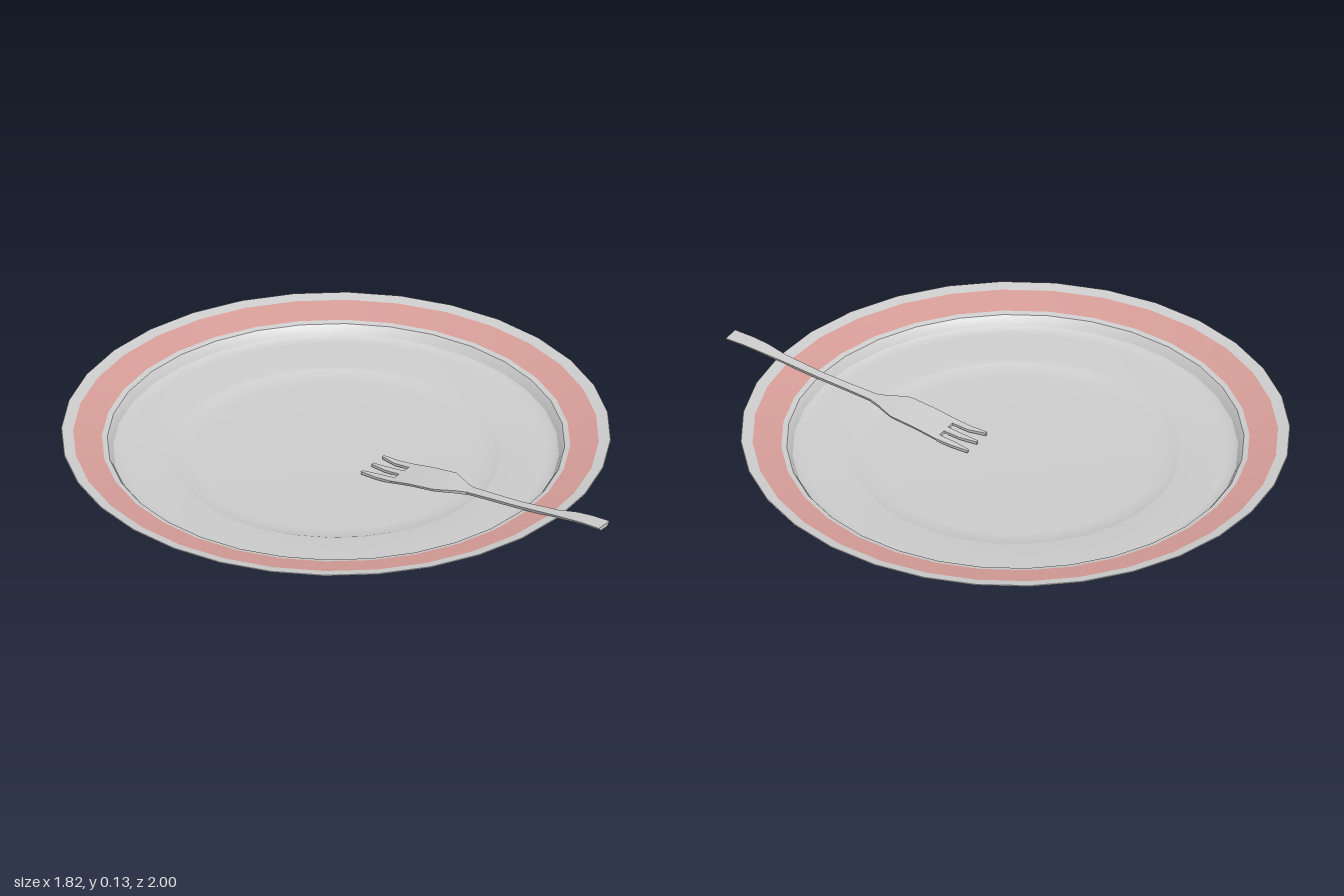
import * as THREE from 'three';
import { toCreasedNormals } from 'three/addons/utils/BufferGeometryUtils.js';

const grey = new THREE.MeshStandardMaterial({ color: 0xcccccc });
const red = new THREE.MeshStandardMaterial({ color: 0xd59c97 });

// Turned ring of the plate; the profile runs outward below and inward above
function turned(name, profile, material) {
  const points = profile.map(([r, y]) => new THREE.Vector2(r, y));
  const geometry = toCreasedNormals(new THREE.LatheGeometry(points, 32), 0.5);
  const mesh = new THREE.Mesh(geometry, material);
  mesh.name = name;
  return mesh;
}

// Height of the fork's top face along its length: [z, y]
const arch = [[0.05, 0.026], [0.11, 0.027], [0.17, 0.034], [0.25, 0.05], [0.35, 0.064],
  [0.45, 0.067], [0.65, 0.084], [0.8, 0.104], [0.87, 0.117], [0.93, 0.124], [1, 0.127]];
function archY(z) {
  let i = 1;
  while (i < arch.length - 1 && arch[i][0] < z) i++;
  const [z0, y0] = arch[i - 1], [z1, y1] = arch[i];
  return y0 + (y1 - y0) * (z - z0) / (z1 - z0);
}

// Sweeps a bar along the arch; stations are [z, left edge x, right edge x]
function bar(name, stations, thickness, bevel) {
  const positions = [], index = [];
  for (const [z, x0, x1] of stations) {
    const y = archY(z), b = (x1 - x0) * bevel;
    positions.push(x0, y, z, x1, y, z, x1 - b, y - thickness, z, x0 + b, y - thickness, z);
  }
  for (let s = 0; s < stations.length - 1; s++) {
    for (let k = 0; k < 4; k++) {
      const a = s * 4 + k, b = s * 4 + (k + 1) % 4;
      index.push(a, a + 4, b, b, a + 4, b + 4);
    }
  }
  const e = (stations.length - 1) * 4;
  index.push(0, 1, 2, 0, 2, 3, e, e + 2, e + 1, e, e + 3, e + 2);
  const geometry = new THREE.BufferGeometry();
  geometry.setAttribute('position', new THREE.Float32BufferAttribute(positions, 3));
  geometry.setIndex(index);
  const mesh = new THREE.Mesh(toCreasedNormals(geometry, 0.5), grey);
  mesh.name = name;
  return mesh;
}

export function createModel() {
  const model = new THREE.Group();
  model.name = 'plateWithFork';

  // Plate: underside with foot and lip, coloured rim band, well
  const plate = new THREE.Group();
  plate.name = 'plate';
  plate.position.z = -0.09;
  plate.add(
    turned('underside', [[0, 0], [0.5, 0], [0.53, 0.003], [0.545, 0.012], [0.7, 0.013],
      [0.732, 0.018], [0.743, 0.03], [0.752, 0.058], [0.8, 0.067], [0.91, 0.095],
      [0.908, 0.097], [0.87, 0.09]], grey),
    turned('rimBand', [[0.87, 0.09], [0.775, 0.07]], red),
    turned('well', [[0.775, 0.07], [0.757, 0.066], [0.748, 0.055], [0.738, 0.035], [0.725, 0.027],
      [0.7, 0.024], [0.55, 0.023], [0.538, 0.02], [0.522, 0.013], [0.47, 0.01], [0, 0.01]], grey));
  model.add(plate);

  // Fork: three tines, palm and flared handle
  const fork = new THREE.Group();
  fork.name = 'fork';
  const cx = 0.012;
  for (const side of [-1, 0, 1]) {
    const c = cx + side * 0.054;
    const tip = c + side * 0.006;
    fork.add(bar('tine', [[0.05, tip - 0.005, tip + 0.005], [0.11, c - 0.012, c + 0.012],
      [0.17, c - 0.0135, c + 0.0135]], 0.011, 0.1));
  }
  const symmetric = (list) => list.map(([z, w]) => [z, cx - w, cx + w]);
  fork.add(bar('palm', symmetric([[0.17, 0.0675], [0.25, 0.067], [0.345, 0.066], [0.38, 0.05],
    [0.42, 0.03], [0.45, 0.02]]), 0.012, 0.05));
  fork.add(bar('handle', symmetric([[0.45, 0.02], [0.55, 0.017], [0.65, 0.016], [0.8, 0.019],
    [0.87, 0.027], [0.93, 0.029], [1, 0.03]]), 0.014, 0.2));
  model.add(fork);
  return model;
}
